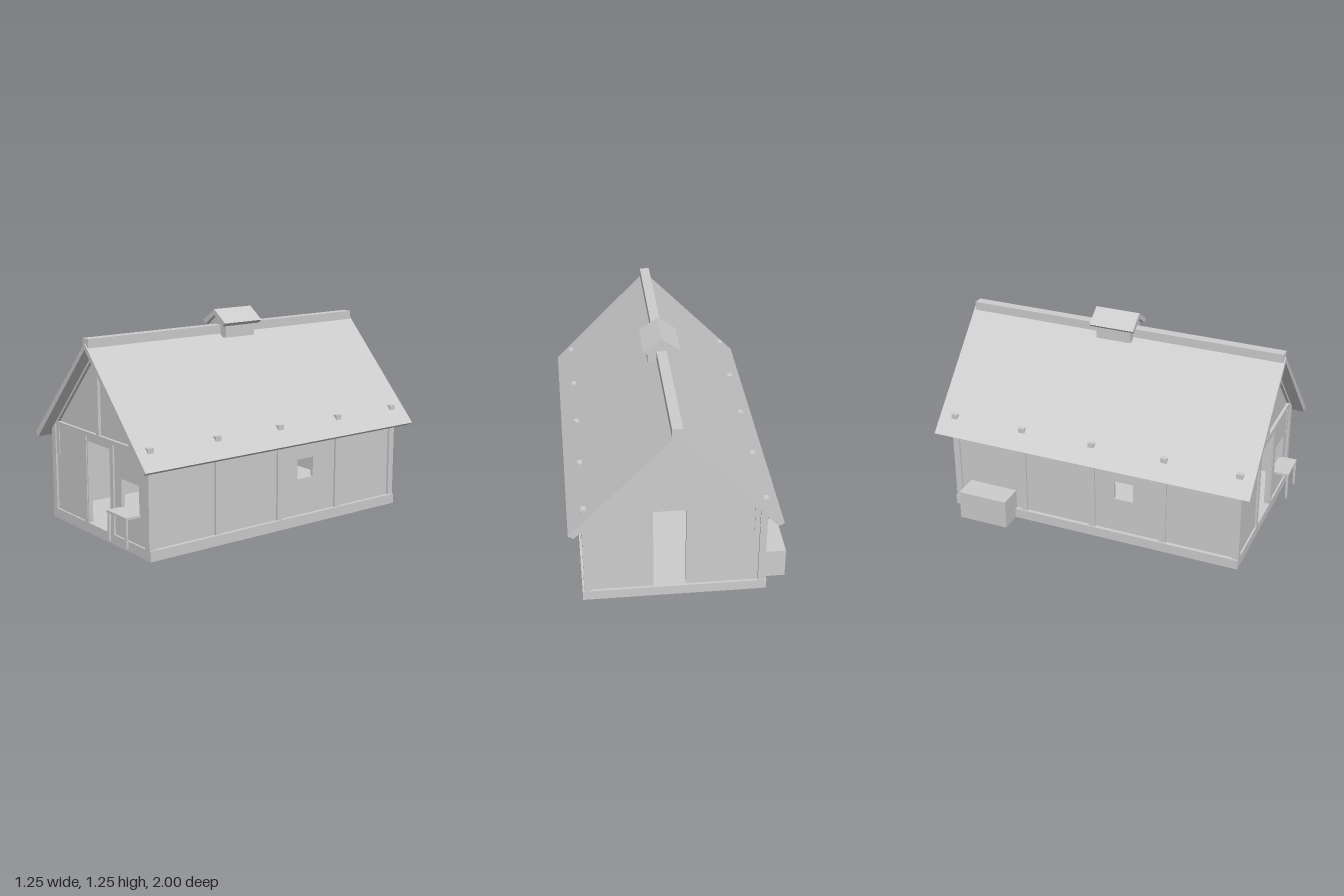
import * as THREE from 'three';

const C = 0.0275; // x of the house's centre line

export function createModel() {
  const house = new THREE.Group();
  house.name = 'timberHouse';
  const grey = new THREE.MeshStandardMaterial({ color: 0xcccccc });
  grey.name = 'plainGrey';

  const add = (name, geometry) => {
    const mesh = new THREE.Mesh(geometry, grey);
    mesh.name = name;
    house.add(mesh);
    return mesh;
  };
  // box given by its limits on each axis
  const box = (name, x0, x1, y0, y1, z0, z1) =>
    add(name, new THREE.BoxGeometry(x1 - x0, y1 - y0, z1 - z0)
      .translate((x0 + x1) / 2, (y0 + y1) / 2, (z0 + z1) / 2));
  // outline in x and y, extruded from z0 to z1
  const prism = (name, points, z0, z1) => {
    const shape = new THREE.Shape(points.map(([x, y]) => new THREE.Vector2(x, y)));
    return add(name, new THREE.ExtrudeGeometry(shape, { depth: z1 - z0, bevelEnabled: false })
      .translate(0, 0, z0));
  };
  // upright wall panel with a rectangular window
  const windowWall = (u0, u1, y0, y1, [a, b, c, d], depth) => {
    const shape = new THREE.Shape([[u0, y0], [u1, y0], [u1, y1], [u0, y1]]
      .map(p => new THREE.Vector2(...p)));
    shape.holes.push(new THREE.Path([[a, c], [a, d], [b, d], [b, c]]
      .map(p => new THREE.Vector2(...p))));
    return new THREE.ExtrudeGeometry(shape, { depth, bevelEnabled: false });
  };
  // gabled roof: outer apex, outer eave, inner eave, inner apex
  const chevron = (name, apex, [ow, oy], [iw, iy], inner, z0, z1) =>
    prism(name, [[C, apex], [C - ow, oy], [C - iw, iy], [C, inner], [C + iw, iy], [C + ow, oy]], z0, z1);

  // foundation
  box('foundation', -0.5, 0.555, 0, 0.06, -0.922, 0.918);

  // posts, their heads showing through the roof
  for (const z of [-0.9, -0.45, 0, 0.45, 0.9]) {
    box('leftPost', 0.505, 0.545, 0.06, 0.63, z - 0.02, z + 0.02);
    box('rightPost', -0.49, -0.45, 0.06, 0.63, z - 0.02, z + 0.02);
  }

  // side walls, each with one small window
  const leftWall = add('leftWall', windowWall(-0.9, 0.9, 0.06, 0.57, [-0.26, -0.14, 0.28, 0.4], 0.02));
  leftWall.rotation.y = -Math.PI / 2;
  leftWall.position.x = 0.532;
  const rightWall = add('rightWall', windowWall(-0.9, 0.9, 0.06, 0.57, [0.14, 0.26, 0.28, 0.4], 0.02));
  rightWall.rotation.y = -Math.PI / 2;
  rightWall.position.x = -0.457;

  // front wall and door frame
  box('frontWallRight', -0.45, -0.13, 0.06, 0.58, 0.885, 0.907);
  add('frontWallLeft', windowWall(0.187, 0.505, 0.06, 0.58, [0.255, 0.433, 0.235, 0.4], 0.022))
    .position.z = 0.885;
  box('doorStud', -0.13, -0.1, 0.06, 0.58, 0.88, 0.918);
  box('doorStud', 0.155, 0.187, 0.06, 0.58, 0.88, 0.918);
  box('doorJamb', -0.1, -0.092, 0.06, 0.548, 0.885, 0.912);
  box('doorJamb', 0.148, 0.155, 0.06, 0.548, 0.885, 0.912);
  box('doorLintel', -0.1, 0.155, 0.548, 0.58, 0.885, 0.91);
  for (const s of [-1, 1]) {
    const x = C + s * 0.462;
    for (const z of [-0.909, 0.909]) {
      box('cornerBrace', x - 0.015, x + 0.015, 0.4, 0.58, z - 0.003, z + 0.003);
    }
  }

  // back wall with an open doorway
  box('backWallRight', -0.45, -0.035, 0.06, 0.58, -0.907, -0.885);
  box('backWallLeft', 0.15, 0.505, 0.06, 0.58, -0.907, -0.885);

  // gables, tie beam, king post and rafters
  const gable = [[C - 0.48, 0.58], [C + 0.48, 0.58], [C, 1.09]];
  prism('frontGable', gable, 0.88, 0.9);
  prism('backGable', gable, -0.907, -0.885);
  box('tieBeam', -0.45, 0.505, 0.58, 0.605, 0.88, 0.918);
  box('kingPost', 0.014, 0.041, 0.605, 1.075, 0.88, 0.918);
  chevron('frontRafters', 1.1, [0.49, 0.58], [0.472, 0.58], 1.08, 0.88, 0.918);

  // main roof and ridge beam
  chevron('roof', 1.135, [0.595, 0.521], [0.563, 0.502], 1.1, -1, 0.987);
  box('ridgeBeam', -0.003, 0.056, 1.11, 1.162, -0.985, 0.98);

  // roof vent
  prism('ventBody', [[C - 0.079, 1.09], [C + 0.079, 1.09], [C + 0.079, 1.168], [C, 1.222], [C - 0.079, 1.168]],
    -0.15, 0.065);
  chevron('ventRoof', 1.255, [0.108, 1.18], [0.083, 1.16], 1.22, -0.182, 0.093);

  // bench table under the front window
  box('tableTop', 0.245, 0.443, 0.222, 0.236, 0.905, 1);
  box('tableLeg', 0.25, 0.265, 0.06, 0.222, 0.987, 0.999);
  box('tableLeg', 0.428, 0.441, 0.06, 0.222, 0.987, 0.999);

  // storage box by the right wall
  box('storageBox', -0.628, -0.465, 0, 0.18, -0.82, -0.508);

  return house;
}
